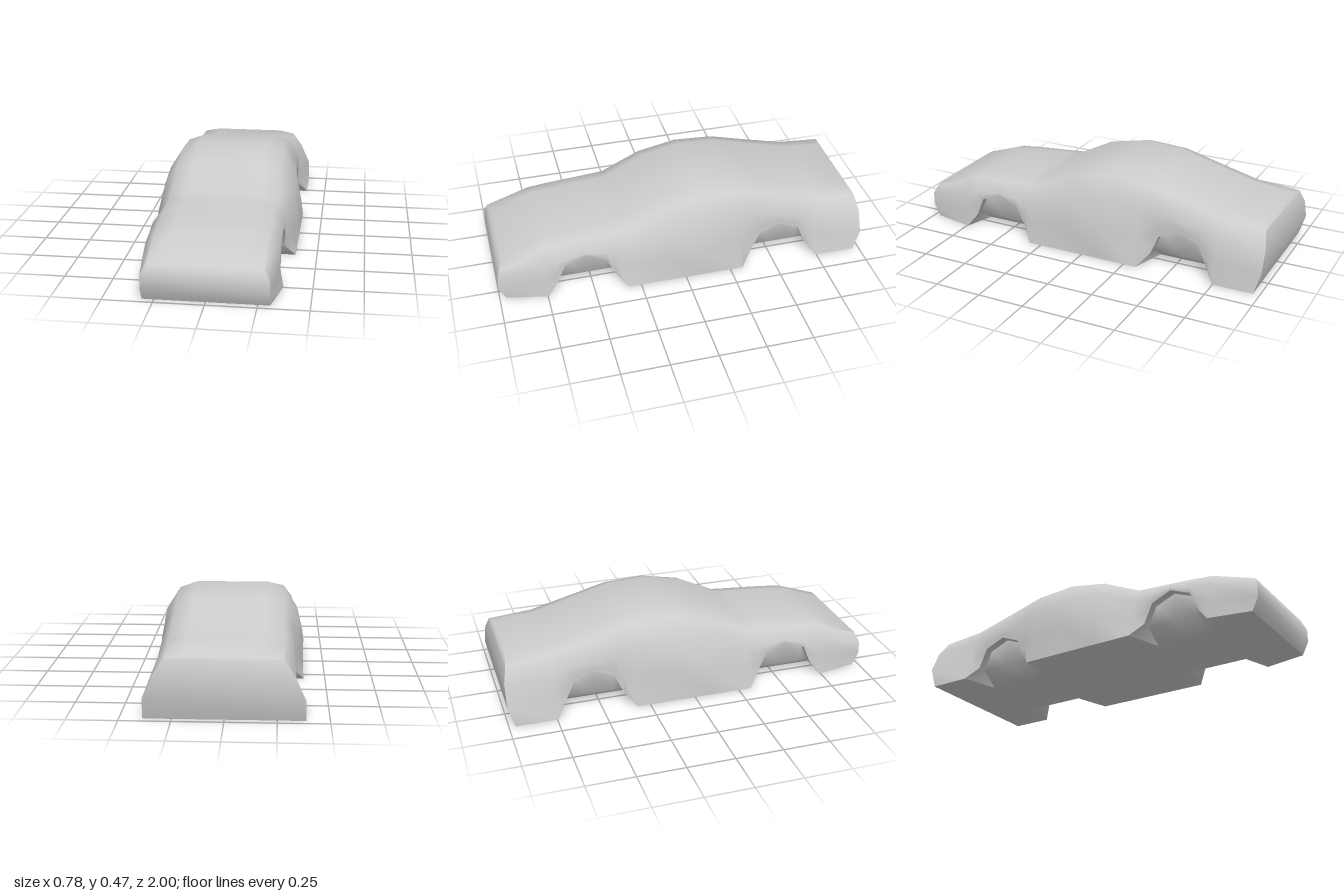
import * as THREE from 'three';
import { toCreasedNormals } from 'three/addons/utils/BufferGeometryUtils.js';

// Stations from nose to tail: z, roof height, shoulder x, side x, sill x, lower edge y, 1 inside a wheel arch
const STATIONS = [
  [0.965, 0.20, 0.31, 0.31, 0.31, 0, 0],
  [0.745, 0.285, 0.332, 0.335, 0.355, 0, 0],
  [0.69, 0.29, 0.335, 0.335, 0.335, 0.07, 1],
  [0.645, 0.296, 0.335, 0.335, 0.335, 0.175, 1],
  [0.535, 0.305, 0.335, 0.335, 0.335, 0.22, 1],
  [0.427, 0.313, 0.335, 0.335, 0.335, 0.175, 1],
  [0.38, 0.317, 0.335, 0.335, 0.335, 0.07, 1],
  [0.32, 0.322, 0.335, 0.345, 0.388, 0, 0],
  [0.107, 0.43, 0.35, 0.388, 0.388, 0, 0],
  [-0.107, 0.475, 0.355, 0.388, 0.388, 0, 0],
  [-0.32, 0.462, 0.345, 0.35, 0.388, 0, 0],
  [-0.38, 0.446, 0.335, 0.335, 0.335, 0.07, 1],
  [-0.427, 0.432, 0.335, 0.335, 0.335, 0.175, 1],
  [-0.535, 0.402, 0.335, 0.335, 0.335, 0.22, 1],
  [-0.645, 0.372, 0.335, 0.335, 0.335, 0.175, 1],
  [-0.69, 0.36, 0.335, 0.335, 0.335, 0.07, 1],
  [-0.745, 0.345, 0.335, 0.345, 0.388, 0, 0],
  [-0.965, 0.325, 0.335, 0.385, 0.388, 0, 0],
];
const WELL_X = 0.29;
const WELL_Y = 0.07;
const END_BULGE = [0, 0.015, 0.035, 0.035, 0, 0, 0, 0];

// Half section from roof edge down to the underside, then mirrored into a closed ring
function makeRing([z, roof, shoulderX, sideX, sillX, edgeY, arch], index) {
  const shoulderY = Math.max(0.69 * roof, edgeY + 0.01);
  const sideY = arch ? edgeY + 0.4 * (shoulderY - edgeY) : 0.34 * roof;
  const half = [
    [0.195, roof],
    [0.282, 0.935 * roof],
    [shoulderX, shoulderY],
    [sideX, sideY],
    [sillX, edgeY],
    [arch ? WELL_X : sillX, edgeY],
    [arch ? WELL_X : sillX, arch ? WELL_Y : 0],
    [0.195, 0],
  ];
  const isEnd = index === 0 || index === STATIONS.length - 1;
  const right = half.map(([x, y], j) =>
    new THREE.Vector3(x, y, z + (isEnd ? Math.sign(z) * END_BULGE[j] : 0)));
  const left = right.map((p) => new THREE.Vector3(-p.x, p.y, p.z)).reverse();
  return [...right, ...left];
}

function createShellGeometry() {
  const rings = STATIONS.map(makeRing);
  const n = rings[0].length;
  const positions = [];
  const triangle = (a, b, c) => {
    const area = b.clone().sub(a).cross(c.clone().sub(a)).length();
    if (area > 1e-7) for (const p of [a, b, c]) positions.push(p.x, p.y, p.z);
  };
  const quad = (a, b, c, d) => {
    triangle(a, b, c);
    triangle(a, c, d);
  };

  // Skin between neighbouring sections
  for (let i = 0; i < rings.length - 1; i++) {
    for (let j = 0; j < n; j++) {
      const k = (j + 1) % n;
      quad(rings[i][j], rings[i][k], rings[i + 1][k], rings[i + 1][j]);
    }
  }

  // Rounded nose and tail panels
  const nose = rings[0];
  const tail = rings[rings.length - 1];
  for (let j = 0; j < n / 2 - 1; j++) {
    const m = n - 1 - j;
    quad(nose[m], nose[m - 1], nose[j + 1], nose[j]);
    quad(tail[j], tail[j + 1], tail[m - 1], tail[m]);
  }

  const geometry = new THREE.BufferGeometry();
  geometry.setAttribute('position', new THREE.Float32BufferAttribute(positions, 3));
  return toCreasedNormals(geometry, 0.95);
}

export function createModel() {
  const model = new THREE.Group();
  model.name = 'car';
  const shell = new THREE.Mesh(
    createShellGeometry(),
    new THREE.MeshStandardMaterial({ color: 0xcccccc }),
  );
  shell.name = 'bodyShell';
  model.add(shell);
  return model;
}
